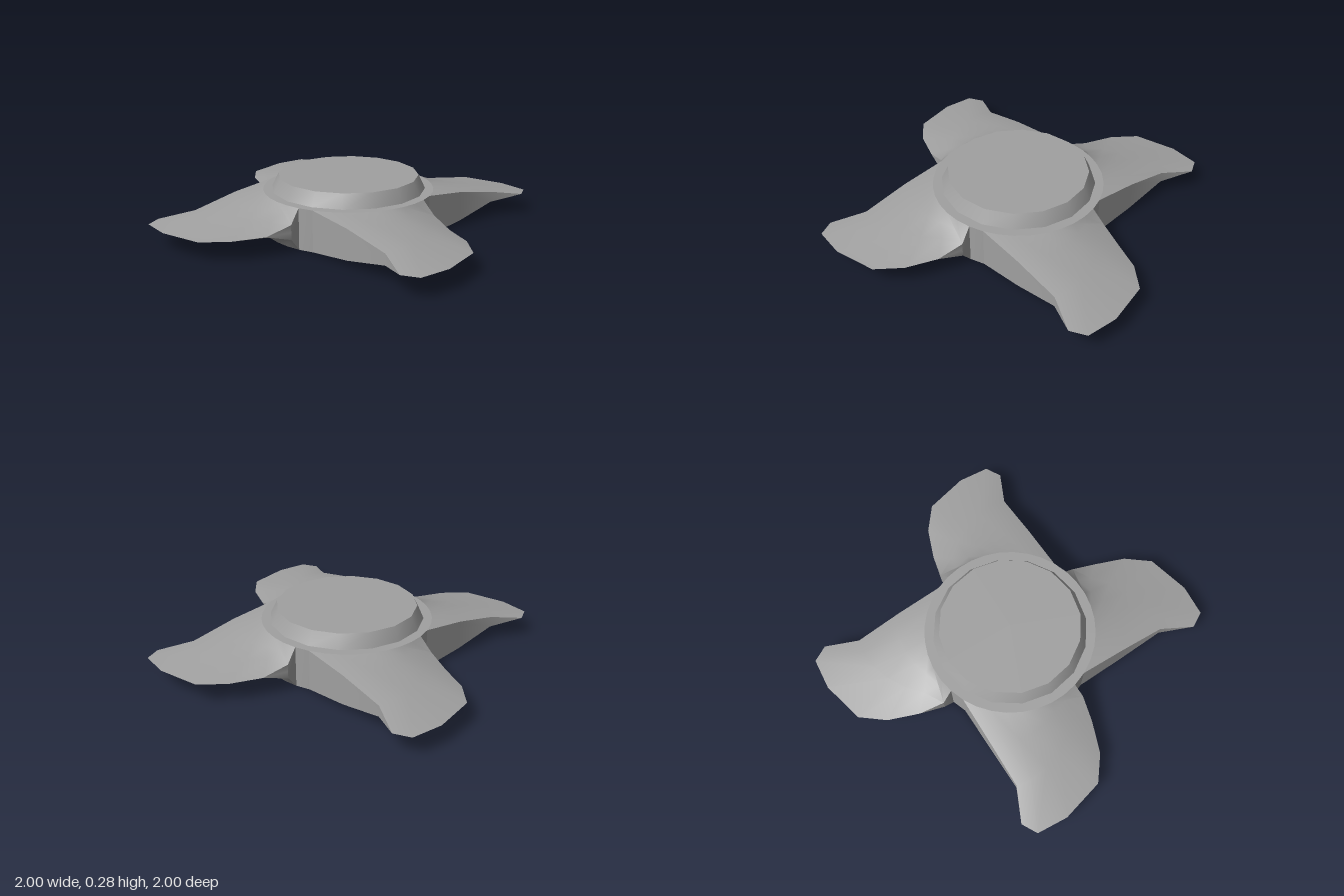
import * as THREE from 'three';
import { toCreasedNormals } from 'three/addons/utils/BufferGeometryUtils.js';

const HEIGHT = 0.21, MID = HEIGHT / 2, HUB_R = 0.437;
const material = new THREE.MeshStandardMaterial({ color: 0xa0a0a0 });

function addMesh(parent, name, geometry, y = 0) {
  const mesh = new THREE.Mesh(toCreasedNormals(geometry, 0.6), material);
  mesh.name = name;
  mesh.position.y = y;
  parent.add(mesh);
  return mesh;
}

// Point on the hub rim, as [x, half thickness, z]
function rim(degrees) {
  const a = THREE.MathUtils.degToRad(degrees);
  return [HUB_R * Math.sin(a), MID, HUB_R * Math.cos(a)];
}

// Blade lofted from the hub rim over a bulged waist and a shoulder to a sharp edge
function bladeGeometry() {
  const hub = [-30, -20, -10, 0, 10, 20, 30].map(rim);
  const shoulder = [[0.06, 0.78], [0.13, 0.75], [0.2, 0.69], [0.26, 0.61], [0.305, 0.52], [0.33, 0.42], [0.38, 0.32]]
    .map(([x, z], i) => [x, i ? 0.037 : 0.028, z]);
  const edge = [[0.09, 0.96], [0.17, 1], [0.31, 0.92], [0.46, 0.75], [0.47, 0.6], [0.43, 0.44], [0.38, 0.32]]
    .map(([x, z]) => [x, 0, z]);
  const last = hub.length - 1;
  const waist = hub.map((h, i) => {
    const p = h.map((v, k) => (v + shoulder[i][k]) / 2);
    p[1] += 0.01 * (1 - i / last);
    return p;
  });
  const rings = [hub, waist, shoulder, edge];
  const positions = [];
  const tri = (a, b, c) => positions.push(...a, ...b, ...c);
  const quad = (a, b, c, d) => { tri(a, b, c); tri(a, c, d); };
  const up = ([x, h, z]) => [x, MID + h, z];
  const down = ([x, h, z]) => [x, MID - h, z];

  // Upper and lower skins, mirrored about the middle plane
  const skin = (a, b, c) => {
    tri(up(a), up(b), up(c));
    tri(down(c), down(b), down(a));
  };
  for (let r = 0; r < 3; r++) {
    const inner = rings[r], outer = rings[r + 1];
    for (let i = 0; i < last; i++) {
      skin(inner[i], outer[i], inner[i + 1]);
      skin(outer[i], outer[i + 1], inner[i + 1]);
    }
  }
  // Bevel at the root notch
  const corner = shoulder[last];
  skin(hub[last], corner, rim(40));
  skin(rim(40), corner, rim(50));

  // Thick straight side, tapering to the tip
  for (let r = 0; r < 2; r++) {
    const a = rings[r][0], b = rings[r + 1][0];
    quad(up(a), down(a), down(b), up(b));
  }
  tri(up(shoulder[0]), down(shoulder[0]), up(edge[0]));
  // Short wall of the notch
  quad(up(rim(50)), up(corner), down(corner), down(rim(50)));

  const g = new THREE.BufferGeometry();
  g.setAttribute('position', new THREE.Float32BufferAttribute(positions, 3));
  return g;
}

export function createModel() {
  const model = new THREE.Group();
  model.name = 'bladedRotor';

  // Round hub and its chamfered sixteen-sided cap
  addMesh(model, 'hub', new THREE.CylinderGeometry(HUB_R, HUB_R, HEIGHT, 36), MID);
  const cap = new THREE.CylinderGeometry(0.36, 0.394, 0.07, 16);
  cap.rotateY(Math.PI / 16);
  addMesh(model, 'hubCap', cap, HEIGHT + 0.035);

  // Four identical blades
  const blade = bladeGeometry();
  for (let k = 0; k < 4; k++) {
    addMesh(model, 'blade' + (k + 1), blade).rotation.y = k * Math.PI / 2;
  }
  return model;
}
